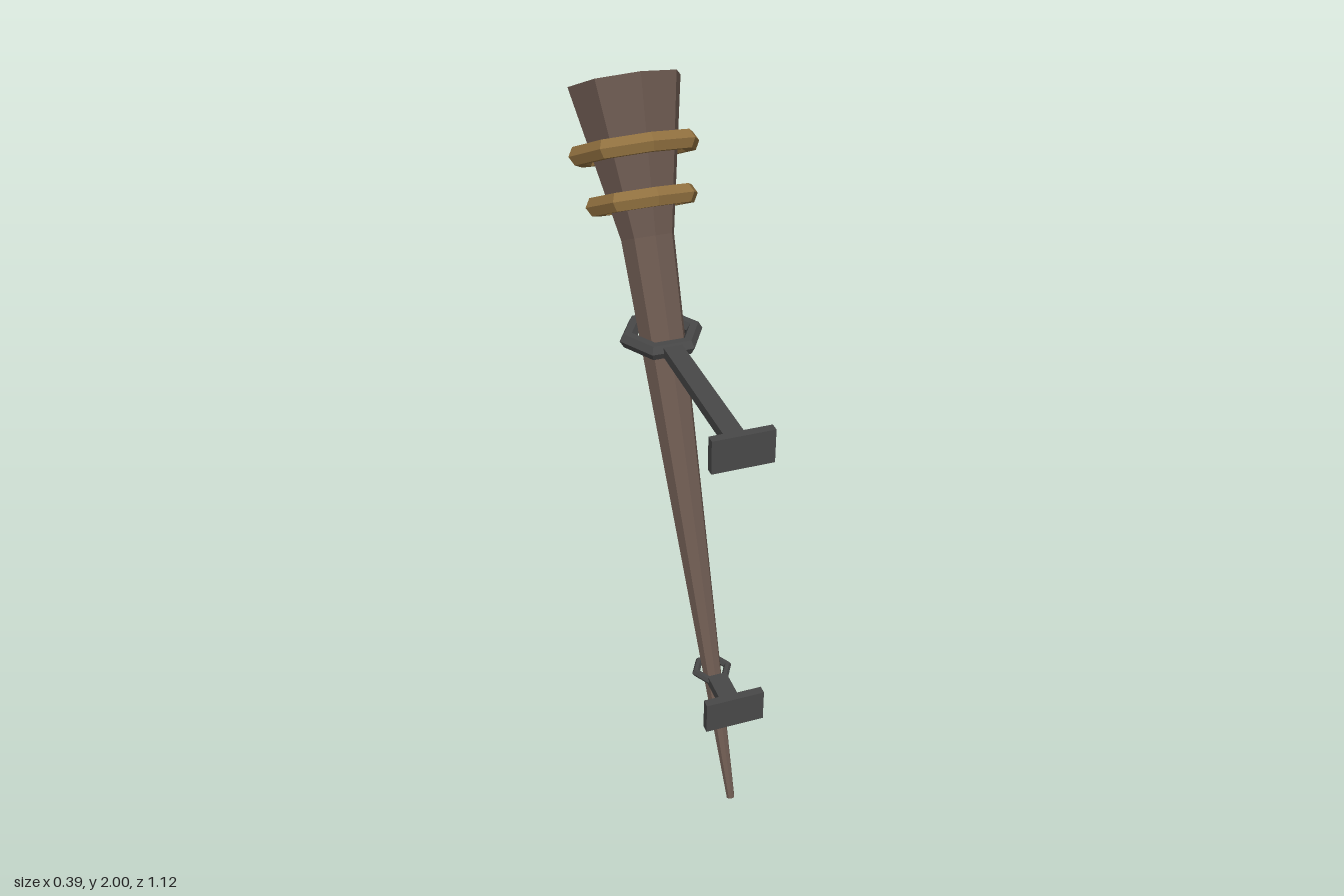
import * as THREE from 'three';

const material = (color) => new THREE.MeshStandardMaterial({ color, flatShading: true });

export function createModel() {
  const model = new THREE.Group();
  model.name = 'wallTorch';
  const wood = material(0x68564d);
  const brass = material(0x90703f);
  const iron = material(0x484848);

  function add(parent, name, geometry, mat, x, y, z) {
    const mesh = new THREE.Mesh(geometry, mat);
    mesh.name = name;
    mesh.position.set(x, y, z);
    parent.add(mesh);
    return mesh;
  }

  // Horizontal faceted ring
  const ring = (radius, tube, sides) =>
    new THREE.TorusGeometry(radius, tube, 6, sides).rotateX(Math.PI / 2);

  // Leaning torch: everything inside runs along the local y axis
  const torch = new THREE.Group();
  torch.name = 'torch';
  torch.position.set(0, 0.006, 0.545);
  torch.rotation.x = -0.462;
  model.add(torch);

  // Tapered shaft, flared head and hollow bowl in one profile
  const profile = [
    [0, 0], [0.012, 0], [0.08, 1.7], [0.168, 2.143],
    [0.127, 2.143], [0.1, 1.965], [0, 1.965],
  ].map(([r, y]) => new THREE.Vector2(r, y));
  add(torch, 'shaft', new THREE.LatheGeometry(profile, 8), wood, 0, 0, 0);

  // Brass bands around the head
  add(torch, 'upperBand', ring(0.166, 0.03, 8), brass, 0, 1.952, 0);
  add(torch, 'lowerBand', ring(0.139, 0.03, 8), brass, 0, 1.805, 0);

  // Wall brackets: plate, arm and hexagonal holding ring
  const brackets = [
    { name: 'upperBracket', y: 1.27, ringZ: -0.094, radius: 0.102, tube: 0.025, armEnd: 0 },
    { name: 'lowerBracket', y: 0.37, ringZ: 0.366, radius: 0.05, tube: 0.012, armEnd: 0.412 },
  ];
  for (const b of brackets) {
    const bracket = new THREE.Group();
    bracket.name = b.name;
    bracket.position.y = b.y;
    model.add(bracket);
    const length = 0.54 - b.armEnd;
    add(bracket, 'wallPlate', new THREE.BoxGeometry(0.175, 0.1, 0.025), iron, 0, 0, 0.547);
    add(bracket, 'arm', new THREE.BoxGeometry(0.057, 0.03, length), iron, 0, 0, b.armEnd + length / 2);
    add(bracket, 'holdingRing', ring(b.radius, b.tube, 6), iron, 0, 0, b.ringZ);
  }
  return model;
}
